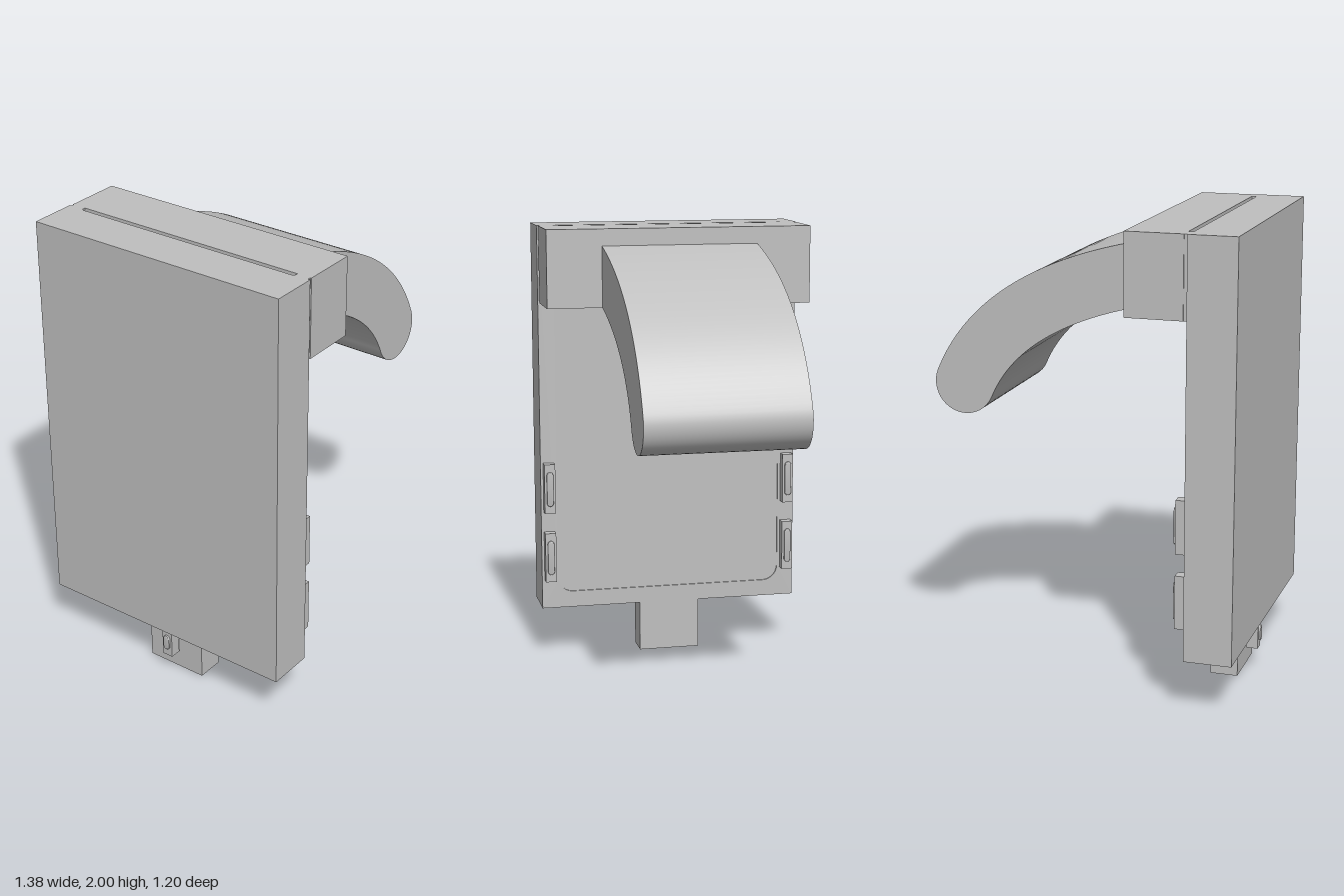
import * as THREE from 'three';
import { toCreasedNormals } from 'three/addons/utils/BufferGeometryUtils.js';

const grey = new THREE.MeshStandardMaterial({ color: 0xbfbfbf });
grey.name = 'plain grey';

function add(parent, name, geometry) {
  const mesh = new THREE.Mesh(geometry, grey);
  mesh.name = name;
  parent.add(mesh);
  return mesh;
}

// Box given by its limits on each axis
function box(parent, name, x0, x1, y0, y1, z0, z1) {
  const mesh = add(parent, name, new THREE.BoxGeometry(x1 - x0, y1 - y0, z1 - z0));
  mesh.position.set((x0 + x1) / 2, (y0 + y1) / 2, (z0 + z1) / 2);
  return mesh;
}

// Small housing with a raised pill-shaped key; dir is the way it faces along x
function keyUnit(name, x, y, z, length, depth, dir) {
  const unit = new THREE.Group();
  unit.name = name;
  box(unit, 'keyHousing', 0, depth, -length / 2, length / 2, -0.025, 0.025);
  const r = 0.011, h = length / 2 - 0.05;
  const pill = new THREE.Shape();
  pill.absarc(0, h, r, 0, Math.PI, false);
  pill.absarc(0, -h, r, Math.PI, Math.PI * 2, false);
  pill.closePath();
  const geometry = new THREE.ExtrudeGeometry(pill, {
    depth: 0.006, bevelThickness: 0.004, bevelSize: 0.004, bevelSegments: 3, curveSegments: 10,
  });
  geometry.rotateY(Math.PI / 2);
  add(unit, 'keyCap', toCreasedNormals(geometry, 0.6)).position.x = depth;
  unit.position.set(x, y, z);
  if (dir < 0) unit.rotation.y = Math.PI;
  return unit;
}

export function createModel() {
  const model = new THREE.Group();
  model.name = 'wallMountedHook';

  // Back plate with a raised rim around a shallow recess
  const face = -0.485, rimDepth = 0.006;
  box(model, 'backPlate', -0.69, face - rimDepth, 0.23, 2, -0.6, 0.6);
  const rim = new THREE.Shape();
  rim.moveTo(-0.6, 2);
  rim.lineTo(-0.6, 0.23);
  rim.lineTo(0.6, 0.23);
  rim.lineTo(0.6, 2);
  rim.lineTo(0.525, 2);
  rim.lineTo(0.525, 0.375);
  rim.absarc(0.455, 0.375, 0.07, 0, -Math.PI / 2, true);
  rim.absarc(-0.455, 0.375, 0.07, -Math.PI / 2, -Math.PI, true);
  rim.lineTo(-0.525, 2);
  rim.closePath();
  const rimGeometry = new THREE.ExtrudeGeometry(rim, { depth: rimDepth, bevelEnabled: false, curveSegments: 10 });
  rimGeometry.rotateY(Math.PI / 2);
  add(model, 'plateRim', toCreasedNormals(rimGeometry, 0.5)).position.x = face - rimDepth;

  // Head block, held off the plate by a spacer at each end so a slot stays open
  box(model, 'headBlock', -0.47, -0.225, 1.655, 2, -0.595, 0.595);
  for (const s of [-1, 1]) {
    box(model, 'slotSpacer', face, -0.47, 1.655, 2, s * 0.56 - 0.03, s * 0.56 + 0.03);
  }

  // Curved arm: outer curve, round tip, then the inner curve at constant thickness
  const thickness = 0.265;
  const curve = new THREE.QuadraticBezierCurve(
    new THREE.Vector2(-0.225, 1.925), new THREE.Vector2(0.483, 1.783), new THREE.Vector2(0.68, 1.33));
  const outer = [], inner = [], tip = [];
  const steps = 40;
  for (let i = 0; i <= steps; i++) {
    const p = curve.getPoint(i / steps), t = curve.getTangent(i / steps);
    outer.push(p);
    inner.unshift(new THREE.Vector2(p.x + t.y * thickness, p.y - t.x * thickness));
  }
  const end = outer[steps], centre = end.clone().add(inner[0]).multiplyScalar(0.5);
  for (let i = 1; i < 20; i++) {
    tip.push(end.clone().rotateAround(centre, -Math.PI * i / 20));
  }
  const armGeometry = new THREE.ExtrudeGeometry(
    new THREE.Shape([...outer, ...tip, ...inner]), { depth: 0.7, bevelEnabled: false });
  armGeometry.translate(0, 0, -0.35);
  add(model, 'curvedArm', toCreasedNormals(armGeometry, 0.5));

  // Tab under the plate
  box(model, 'bottomTab', -0.605, face, 0, 0.23, -0.14, 0.14);

  // Two keys on each side of the plate, and one behind the tab
  for (const z of [-0.563, 0.563]) {
    for (const y of [0.48, 0.803]) {
      model.add(keyUnit('sideKey', face, y, z, 0.23, 0.042, 1));
    }
  }
  model.add(keyUnit('rearKey', -0.617, 0.16, 0, 0.14, 0.05, -1));

  return model;
}
